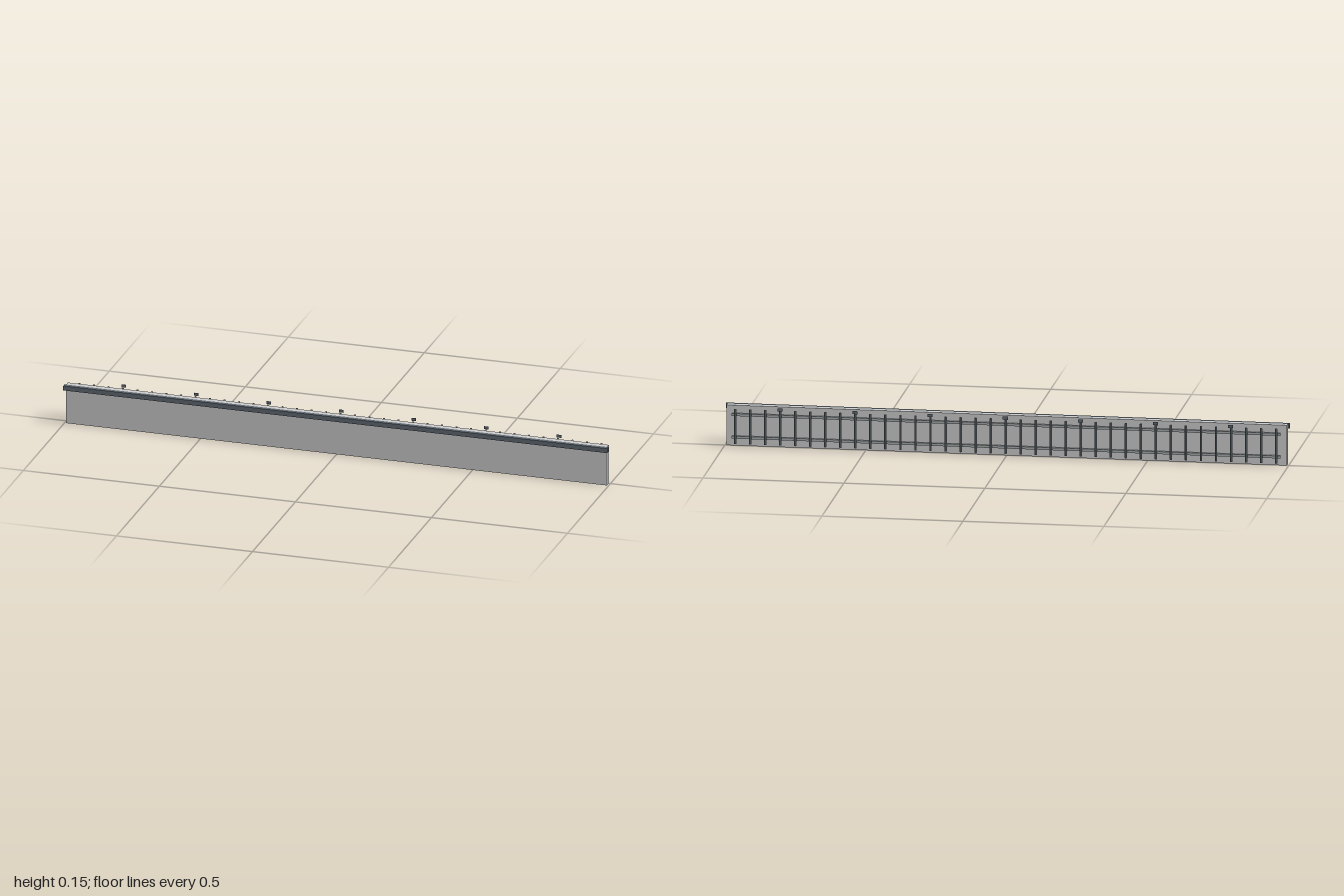
import * as THREE from 'three';

const mat = (color, extra = {}) => new THREE.MeshStandardMaterial({ color, ...extra });

export function createModel() {
  const group = new THREE.Group();
  const panelMat = mat(0xcccccc);
  const trimMat = mat(0x606a72);
  const railMat = mat(0xa4aaac);
  const rodMat = mat(0x868f94, { flatShading: true });
  const tagMat = mat(0x606a72, { side: THREE.DoubleSide });

  const add = (name, geometry, material, x, y, z) => {
    const mesh = new THREE.Mesh(geometry, material);
    mesh.name = name;
    mesh.position.set(x, y, z);
    group.add(mesh);
  };

  // Long upright panel with a dark trim along its front top edge
  add('panel', new THREE.BoxGeometry(1.988, 0.145, 0.021), panelMat, 0, 0.0725, 0.0105);
  add('topTrim', new THREE.BoxGeometry(2, 0.017, 0.015), trimMat, 0, 0.1365, 0.0285);

  // Two horizontal square rails behind the panel
  const rail = new THREE.BoxGeometry(1.946, 0.009, 0.009);
  add('upperRail', rail, railMat, 0, 0.1145, -0.0125);
  add('lowerRail', rail, railMat, 0, 0.033, -0.0125);

  // Evenly spaced vertical rods, with a thin tag above every fifth one
  const spacing = 0.0533;
  const rod = new THREE.CylinderGeometry(0.0043, 0.0043, 0.125, 8);
  const tag = new THREE.PlaneGeometry(0.018, 0.011);
  for (let i = -18; i <= 18; i++) {
    add('rod', rod, rodMat, i * spacing, 0.0745, -0.025);
    if (i % 5 === 0) add('tag', tag, tagMat, i * spacing, 0.142, -0.034);
  }
  return group;
}
